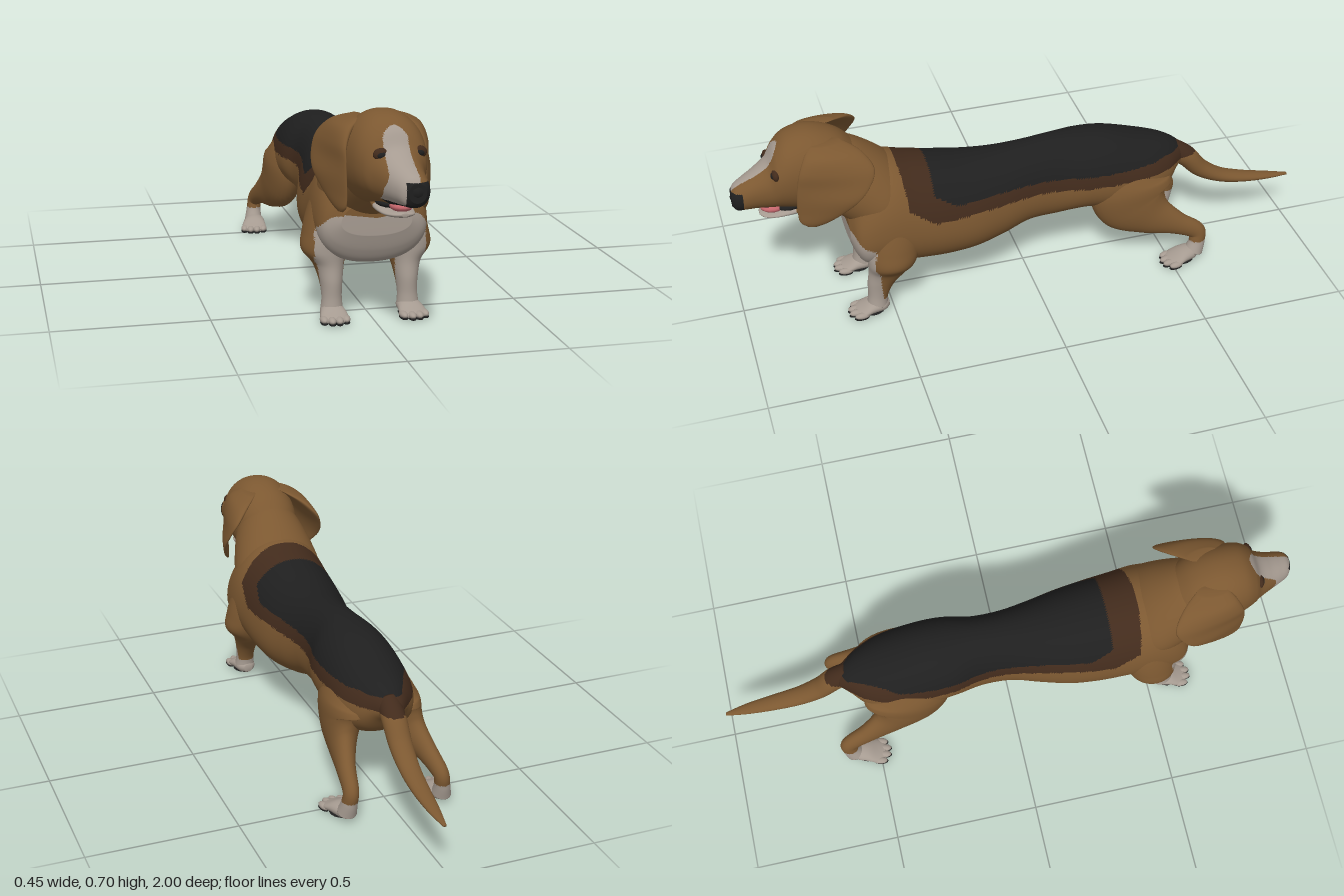
import * as THREE from 'three';

const flat = (name, color) => Object.assign(new THREE.MeshStandardMaterial({ color }), { name });
const TAN = 0, BROWN = 1, BLACK = 2, WHITE = 3, PINK = 4;
const palette = [
  flat('tan coat', 0x7c5831), flat('dark brown coat', 0x422b1c), flat('black', 0x1f1f1f),
  flat('white coat', 0xa69b91), flat('tongue pink', 0xc4666c),
];

// Smooth interpolation of whole rows of numbers
function sampleRows(rows, t) {
  const last = rows.length - 1, i = Math.min(Math.floor(t * last), last - 1), f = t * last - i;
  const at = (k) => rows[Math.max(0, Math.min(last, k))];
  return rows[i].map((p1, c) => {
    const p0 = at(i - 1)[c], p2 = at(i + 1)[c], p3 = at(i + 2)[c];
    return p1 + 0.5 * f * (p2 - p0 + f * (2 * p0 - 5 * p1 + 4 * p2 - p3 + f * (3 * (p1 - p2) + p3 - p0)));
  });
}

// Skin over oval sections [x, y, z, sideRadius, otherRadius, shear];
// dir fixes the section normal, taper narrows the upper side,
// rule(x, y, z) picks the colour of each face
function loft(name, rows, { dir, steps = 40, sides = 32, power = 1, taper = 0, rule = () => TAN } = {}) {
  const pos = [], X = new THREE.Vector3(1, 0, 0);
  const bend = (v) => Math.sign(v) * Math.abs(v) ** power;
  for (let i = -1; i <= steps + 1; i++) {
    const t = Math.max(0, Math.min(steps, i)) / steps;
    const [x, y, z, rx, r, shear = 0] = sampleRows(rows, t);
    const a = sampleRows(rows, Math.max(0, t - 0.01)), b = sampleRows(rows, Math.min(1, t + 0.01));
    const T = dir ? new THREE.Vector3(...dir) : new THREE.Vector3(0, b[1] - a[1], b[2] - a[2]);
    const U = T.cross(X).normalize(), k = i < 0 || i > steps ? 0 : 1;
    for (let j = 0; j < sides; j++) {
      const q = (j / sides) * Math.PI * 2, c = bend(Math.cos(q)) * k, s = bend(Math.sin(q)) * k;
      pos.push(x + c * rx * (1 - taper * s) + s * shear, y + U.y * s * r, z + U.z * s * r);
    }
  }
  const bins = palette.map(() => []);
  const face = (...ids) => {
    const mid = [0, 1, 2].map((c) => ids.reduce((sum, n) => sum + pos[n * 3 + c], 0) / 3);
    bins[rule(...mid)].push(...ids);
  };
  for (let i = 0; i < steps + 2; i++) for (let j = 0; j < sides; j++) {
    const a = i * sides + j, b = i * sides + (j + 1) % sides;
    face(a, b, a + sides);
    face(b, b + sides, a + sides);
  }
  const geo = new THREE.BufferGeometry();
  geo.setAttribute('position', new THREE.Float32BufferAttribute(pos, 3));
  geo.setIndex(bins.flat());
  let start = 0;
  bins.forEach((bin, m) => {
    if (bin.length) geo.addGroup(start, bin.length, m);
    start += bin.length;
  });
  geo.computeVertexNormals();
  const mesh = new THREE.Mesh(geo, palette);
  mesh.name = name;
  return mesh;
}

const ball = new THREE.SphereGeometry(1, 16, 12);
function blob(name, colour, position, scale) {
  const mesh = new THREE.Mesh(ball, palette[colour]);
  mesh.name = name;
  mesh.position.set(...position);
  mesh.scale.set(...scale);
  return mesh;
}

// Coat patterns
const bib = (x, y) => Math.abs(x) < 0.18 && y < 0.345 - 15 * Math.max(0, Math.abs(x) - 0.12) ** 2;
function torsoCoat(x, y, z) {
  if (z > 0.56 && y > 0.18 && bib(x, y)) return WHITE;
  const saddle = 0.045 + Math.max(0, z + 0.55) * 0.5;
  if (z < 0.345 && z > -0.57 && Math.abs(x - 0.01) < saddle && y > 0.398 + Math.max(0, z - 0.27) * 0.6) return BLACK;
  return z < 0.45 - 0.5 * x * x && y > 0.355 + Math.max(0, z - 0.35) * 0.7 ? BROWN : TAN;
}
function headCoat(x, y, z) {
  if (z > 0.88 && y < 0.46) return BLACK;
  if (z > 0.96 && x > -0.005 && y < 0.53) return BLACK;
  const half = 0.038 * Math.sqrt(Math.max(0, Math.min(1, (0.668 - y) / 0.03)));
  const middle = -0.002 - 0.012 * Math.max(0, Math.min(1, (0.54 - y) / 0.04));
  return z > 0.79 && y > 0.46 && Math.abs(x - middle) < half ? WHITE : TAN;
}

// Flat paw with four toes and a dark sole, toes pointing to local +z
function paw(name, x, z, yaw) {
  const g = new THREE.Group();
  g.name = name;
  g.position.set(x, 0, z);
  g.rotation.y = yaw;
  g.add(loft('instep', [
    [0, 0.026, -0.045, 0.015, 0.015], [0, 0.027, -0.025, 0.033, 0.024], [0, 0.026, 0.015, 0.04, 0.023],
    [0, 0.018, 0.05, 0.044, 0.015], [0, 0.013, 0.078, 0.03, 0.008],
  ], { dir: [0, 0, 1], steps: 16, sides: 24, rule: (px, y) => (y < 0.009 ? BLACK : WHITE) }));
  g.add(blob('heelPad', BLACK, [0, 0.006, 0.012], [0.036, 0.006, 0.042]));
  for (let i = 0; i < 4; i++) {
    const tx = (i - 1.5) * 0.023, tz = i % 3 ? 0.07 : 0.057;
    g.add(blob('toe', WHITE, [tx, 0.015, tz], [0.0135, 0.011, 0.026]));
    g.add(blob('toePad', BLACK, [tx, 0.006, tz + 0.002], [0.0125, 0.006, 0.026]));
  }
  return g;
}

export function createModel() {
  const dog = new THREE.Group();
  dog.name = 'dog';

  // Torso: z, top, bottom, half width
  const torso = [
    [-0.585, 0.385, 0.34, 0.03], [-0.55, 0.415, 0.31, 0.06], [-0.5, 0.44, 0.25, 0.1],
    [-0.42, 0.465, 0.22, 0.13], [-0.3, 0.5, 0.22, 0.137], [-0.2, 0.51, 0.23, 0.132],
    [-0.1, 0.51, 0.215, 0.112], [0, 0.5, 0.21, 0.115], [0.1, 0.492, 0.18, 0.137],
    [0.2, 0.495, 0.16, 0.16], [0.3, 0.51, 0.155, 0.172], [0.4, 0.53, 0.16, 0.177],
    [0.48, 0.548, 0.17, 0.18], [0.54, 0.53, 0.175, 0.178], [0.585, 0.49, 0.185, 0.17],
    [0.612, 0.44, 0.225, 0.152], [0.63, 0.39, 0.28, 0.11],
  ].map(([z, top, bottom, w]) => [0.003, (top + bottom) / 2, z, w, (top - bottom) / 2]);
  dog.add(loft('torso', torso, {
    dir: [0, 0, 1], steps: 200, sides: 128, power: 0.9, taper: 0.15, rule: torsoCoat,
  }));
  dog.add(blob('bellyFold', TAN, [0.003, 0.212, -0.06], [0.018, 0.014, 0.055]));

  // Neck
  dog.add(loft('neck', [
    [0, 0.37, 0.47, 0.14, 0.1], [0, 0.41, 0.51, 0.16, 0.122], [-0.003, 0.465, 0.57, 0.148, 0.128],
    [-0.008, 0.53, 0.645, 0.12, 0.12], [-0.01, 0.57, 0.69, 0.09, 0.1],
  ], { dir: [0, 1, 1], sides: 48, rule: (x, y, z) => (z > 0.56 && bib(x, y) ? WHITE : TAN) }));

  // Head, turned slightly: z, x, top, bottom, half width
  const head = [
    [0.56, -0.01, 0.6, 0.46, 0.07], [0.62, -0.01, 0.66, 0.41, 0.105], [0.68, -0.01, 0.69, 0.4, 0.118],
    [0.74, -0.01, 0.7, 0.41, 0.12], [0.8, -0.005, 0.688, 0.425, 0.112], [0.84, 0, 0.655, 0.435, 0.098],
    [0.87, 0.004, 0.608, 0.438, 0.08], [0.91, 0.01, 0.58, 0.445, 0.065], [0.95, 0.018, 0.56, 0.45, 0.054],
    [0.98, 0.024, 0.545, 0.454, 0.043], [0.995, 0.027, 0.528, 0.47, 0.026],
  ].map(([z, x, top, bottom, w]) => [x, (top + bottom) / 2, z, w, (top - bottom) / 2]);
  dog.add(loft('head', head, { dir: [0, 0, 1], steps: 130, sides: 112, power: 0.93, rule: headCoat }));
  dog.add(blob('nose', BLACK, [0.027, 0.502, 0.967], [0.034, 0.033, 0.032]));
  for (const [x, z] of [[-0.046, 0.861], [0.069, 0.849]]) {
    dog.add(blob('eyelid', BROWN, [x, 0.588, z], [0.026, 0.02, 0.014]));
    dog.add(blob('eye', BLACK, [x, 0.587, z + 0.005], [0.018, 0.012, 0.012]));
  }

  // Mouth
  dog.add(blob('mouthInside', BLACK, [0.004, 0.435, 0.81], [0.055, 0.018, 0.06]));
  dog.add(blob('tongue', PINK, [0.014, 0.434, 0.862], [0.036, 0.018, 0.044]));
  dog.add(loft('lowerJaw', [
    [0, 0.425, 0.72, 0.05, 0.02], [0.002, 0.418, 0.8, 0.057, 0.018], [0.007, 0.412, 0.86, 0.049, 0.012],
    [0.012, 0.413, 0.895, 0.034, 0.009], [0.014, 0.415, 0.91, 0.012, 0.005],
  ], { dir: [0, 0, 1], rule: (x, y, z) => (z > 0.79 ? WHITE : TAN) }));

  // Tail
  dog.add(loft('tail', [
    [0.01, 0.375, -0.54, 0.037, 0.04], [0.012, 0.335, -0.6, 0.04, 0.037], [0.013, 0.275, -0.655, 0.038, 0.032],
    [0.015, 0.23, -0.73, 0.034, 0.024], [0.018, 0.205, -0.82, 0.029, 0.018], [0.02, 0.19, -0.92, 0.02, 0.011],
    [0.02, 0.18, -1, 0.006, 0.004],
  ], { steps: 60, rule: (x, y) => (y > 0.355 ? BROWN : TAN) }));

  for (const [side, label] of [[1, 'left'], [-1, 'right']]) {
    const mirror = (rows, dx = 0) => rows.map(([x, y, z, rx, r, k = 0]) => [side * x + dx, y, z, rx, r, side * k]);

    // Hanging ear, flaring outward at the back
    dog.add(loft(label + 'Ear', mirror([
      [0.065, 0.672, 0.68, 0.02, 0.05, 0.004], [0.106, 0.647, 0.665, 0.028, 0.093, -0.004],
      [0.137, 0.6, 0.66, 0.021, 0.12, -0.016], [0.149, 0.55, 0.675, 0.013, 0.115, -0.027],
      [0.152, 0.5, 0.698, 0.012, 0.097, -0.03], [0.143, 0.45, 0.725, 0.011, 0.07, -0.022],
      [0.135, 0.415, 0.745, 0.01, 0.045, -0.012], [0.131, 0.397, 0.75, 0.006, 0.018, -0.003],
    ], -0.012), { dir: [0, -1, 0] }));

    // Front leg with shoulder
    dog.add(loft(label + 'FrontLeg', mirror([
      [0.11, 0.42, 0.48, 0.045, 0.05], [0.12, 0.34, 0.485, 0.065, 0.085], [0.131, 0.27, 0.492, 0.072, 0.09],
      [0.136, 0.215, 0.5, 0.073, 0.082], [0.126, 0.17, 0.512, 0.05, 0.068], [0.123, 0.12, 0.538, 0.037, 0.048],
      [0.123, 0.07, 0.552, 0.032, 0.035], [0.124, 0.03, 0.557, 0.036, 0.036],
    ]), {
      dir: [0, -1, 0], steps: 80, sides: 48,
      rule: (x, y, z) => (y < 0.06 || (z > 0.534 + y * 0.08 && (y < 0.18 || bib(x, y))) ? WHITE : TAN),
    }));
    dog.add(paw(label + 'FrontPaw', side * 0.124, 0.563, side * 0.06));

    // Hind leg with thigh and hock
    dog.add(loft(label + 'HindLeg', mirror([
      [0.068, 0.39, -0.37, 0.05, 0.09], [0.084, 0.32, -0.365, 0.072, 0.145], [0.096, 0.25, -0.38, 0.066, 0.14],
      [0.118, 0.193, -0.435, 0.047, 0.085], [0.142, 0.15, -0.52, 0.032, 0.045], [0.156, 0.11, -0.595, 0.026, 0.032],
      [0.162, 0.07, -0.6, 0.026, 0.029], [0.166, 0.03, -0.588, 0.032, 0.034],
    ]), { steps: 70, rule: (x, y) => (y < 0.075 ? WHITE : TAN) }));
    dog.add(paw(label + 'HindPaw', side * 0.168, -0.555, side * 0.2));
  }
  return dog;
}
